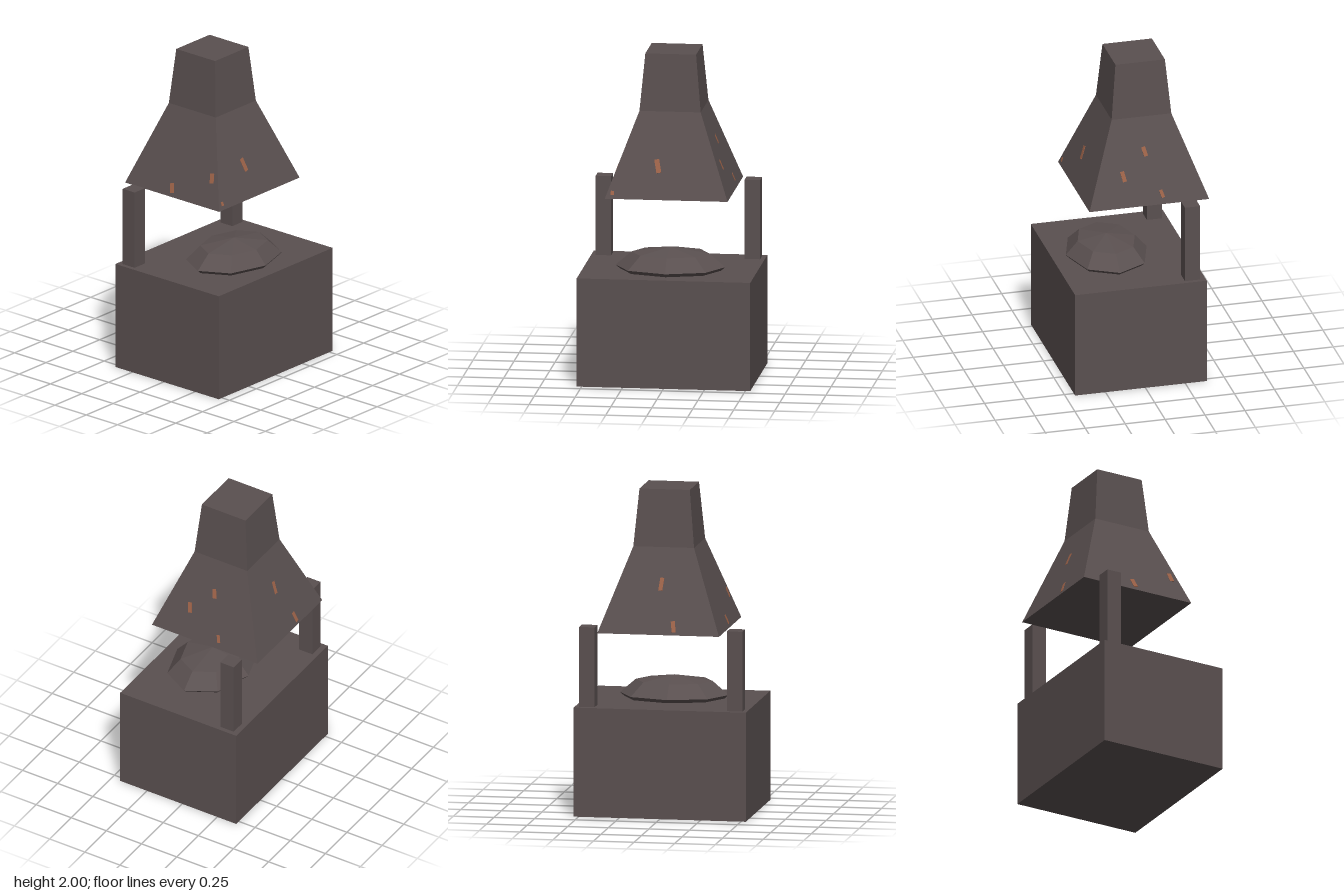
import * as THREE from 'three';

export function createModel() {
  const model = new THREE.Group();
  model.name = 'forge';

  const iron = new THREE.MeshStandardMaterial({ color: 0x5a5050, flatShading: true });
  iron.name = 'sooty stone';
  const rust = new THREE.MeshStandardMaterial({ color: 0x9c6248 });
  rust.name = 'rust';

  const add = (parent, name, geometry, material, x, y, z) => {
    const mesh = new THREE.Mesh(geometry, material);
    mesh.name = name;
    mesh.position.set(x, y, z);
    parent.add(mesh);
    return mesh;
  };

  // Hearth block
  add(model, 'hearthBlock', new THREE.BoxGeometry(1.06, 0.67, 0.825), iron, 0, 0.335, 0.028);

  // Coal mound, a flattened low-poly ball half sunk into the block
  const mound = new THREE.SphereGeometry(1, 8, 4).scale(0.335, 0.118, 0.253);
  add(model, 'coalMound', mound, iron, 0, 0.692, 0.107);

  // Rear posts
  for (const side of [-1, 1]) {
    add(model, side > 0 ? 'leftPost' : 'rightPost',
      new THREE.BoxGeometry(0.095, 0.49, 0.095), iron, side * 0.455, 0.915, -0.302);
  }

  // Hood and chimney: stacked square frustums
  const hood = new THREE.Group();
  hood.name = 'hood';
  hood.position.z = -0.065;
  model.add(hood);
  const frustum = (name, top, bottom, y0, y1) => add(hood, name,
    new THREE.CylinderGeometry(top * Math.SQRT2, bottom * Math.SQRT2, y1 - y0, 4).rotateY(Math.PI / 4),
    iron, 0, (y0 + y1) / 2, 0);
  frustum('hoodSkirt', 0.187, 0.375, 1.14, 1.65);
  frustum('chimney', 0.155, 0.187, 1.65, 2);

  // Rust streaks on the skirt: [offset along the face, height, width, length, spin]
  const slope = 0.188 / 0.51;
  const streaks = {
    front: [0, [[-0.06, 1.335, 0.03, 0.085, 0.2], [-0.33, 1.175, 0.02, 0.025, 0]]],
    left: [Math.PI / 2, [[-0.145, 1.32, 0.025, 0.065, 0.2], [0, 1.45, 0.025, 0.06, 0.25], [0.085, 1.2, 0.02, 0.05, 0.3]]],
    back: [Math.PI, [[0.09, 1.19, 0.025, 0.07, 0.15], [0, 1.435, 0.025, 0.08, -0.1]]],
    right: [-Math.PI / 2, [[-0.015, 1.19, 0.03, 0.06, 0.3], [0.265, 1.31, 0.03, 0.06, 0.2]]],
  };
  for (const [side, [angle, marks]] of Object.entries(streaks)) {
    const face = new THREE.Group();
    face.name = side + 'Rust';
    face.rotation.y = angle;
    hood.add(face);
    for (const [u, y, w, h, spin] of marks) {
      const mark = add(face, 'rustStreak', new THREE.BoxGeometry(w, h, 0.004), rust,
        u, y, 0.375 - (y - 1.14) * slope);
      mark.rotation.set(-Math.atan(slope), 0, spin);
    }
  }

  return model;
}
